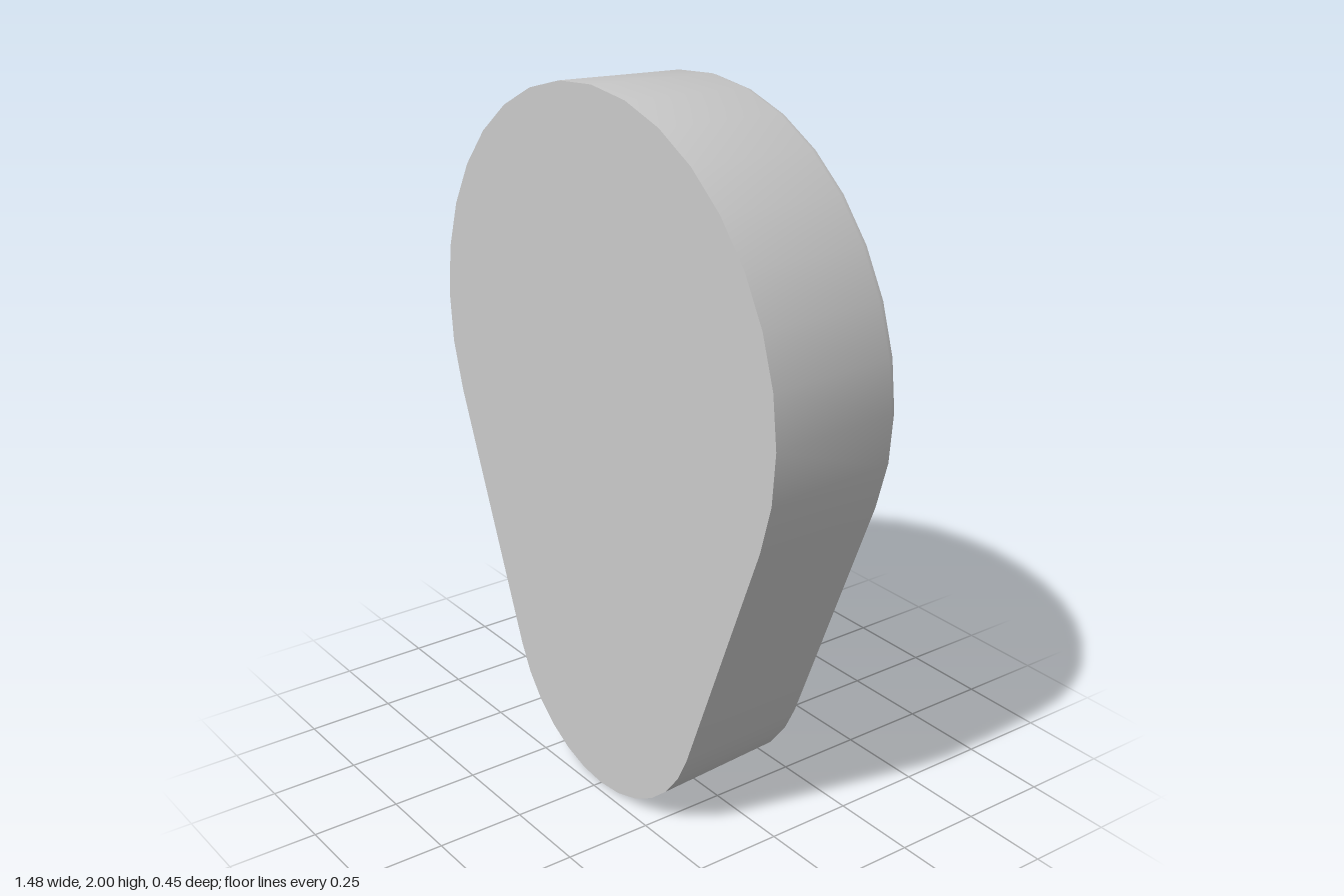
import * as THREE from 'three';
import { toCreasedNormals } from 'three/addons/utils/BufferGeometryUtils.js';

const TOP = { y: 1.262, r: 0.738 }; // large upper arc
const BOTTOM = { y: 0.432, r: 0.432 }; // small lower arc
const TILT = Math.asin((TOP.r - BOTTOM.r) / (TOP.y - BOTTOM.y)); // slope of the straight flanks

// Teardrop outline, counter-clockwise seen from the front, moved inwards by inset
function outline(inset) {
  const half = [];
  const arc = (c, from, to, n) => {
    for (let i = 0; i <= n; i++) {
      const a = from + ((to - from) * i) / n;
      half.push([(c.r - inset) * Math.cos(a), c.y + (c.r - inset) * Math.sin(a)]);
    }
  };
  arc(BOTTOM, -Math.PI / 2, -TILT, 6);
  const a = half[half.length - 1];
  const b = [(TOP.r - inset) * Math.cos(-TILT), TOP.y + (TOP.r - inset) * Math.sin(-TILT)];
  for (let i = 1; i < 5; i++) half.push([a[0] + ((b[0] - a[0]) * i) / 5, a[1] + ((b[1] - a[1]) * i) / 5]);
  arc(TOP, -TILT, Math.PI / 2, 10);
  const mirrored = half.slice(1, -1).reverse().map(([x, y]) => [-x, y]);
  return [...half, ...mirrored];
}

function createBody() {
  // Tapered wall and rounded rim, front to back: [inset, z]
  const layers = [[0, 0.225], [0.018, -0.15], [0.024, -0.166], [0.036, -0.175], [0.06, -0.18]];
  const rings = layers.map(([inset, z]) => outline(inset).map(([x, y]) => [x, y, z]));
  // Small raised disc on the back, lined up radially with the outline
  rings.push(outline(0).map(([x, y]) => {
    const a = Math.atan2(y - TOP.y, x);
    return [0.267 * Math.cos(a), TOP.y + 0.267 * Math.sin(a), -0.225];
  }));

  const n = rings[0].length;
  const positions = rings.flat(2);
  const index = [];
  for (let k = 0; k < rings.length - 1; k++) {
    for (let i = 0; i < n; i++) {
      const j = (i + 1) % n;
      const a = k * n + i, b = k * n + j, c = a + n, d = b + n;
      index.push(a, c, b, b, c, d);
    }
  }
  // Flat front and flat centre of the back
  const front = positions.length / 3, back = front + 1;
  positions.push(0, TOP.y, 0.225, 0, TOP.y, -0.225);
  const last = (rings.length - 1) * n;
  for (let i = 0; i < n; i++) {
    const j = (i + 1) % n;
    index.push(front, i, j, back, last + j, last + i);
  }
  const geometry = new THREE.BufferGeometry();
  geometry.setAttribute('position', new THREE.Float32BufferAttribute(positions, 3));
  geometry.setIndex(index);
  return toCreasedNormals(geometry, 0.55);
}

export function createModel() {
  const group = new THREE.Group();
  group.name = 'teardropPad';
  const body = new THREE.Mesh(createBody(), new THREE.MeshStandardMaterial({ color: 0xcccccc }));
  body.name = 'padBody';
  group.add(body);
  return group;
}
